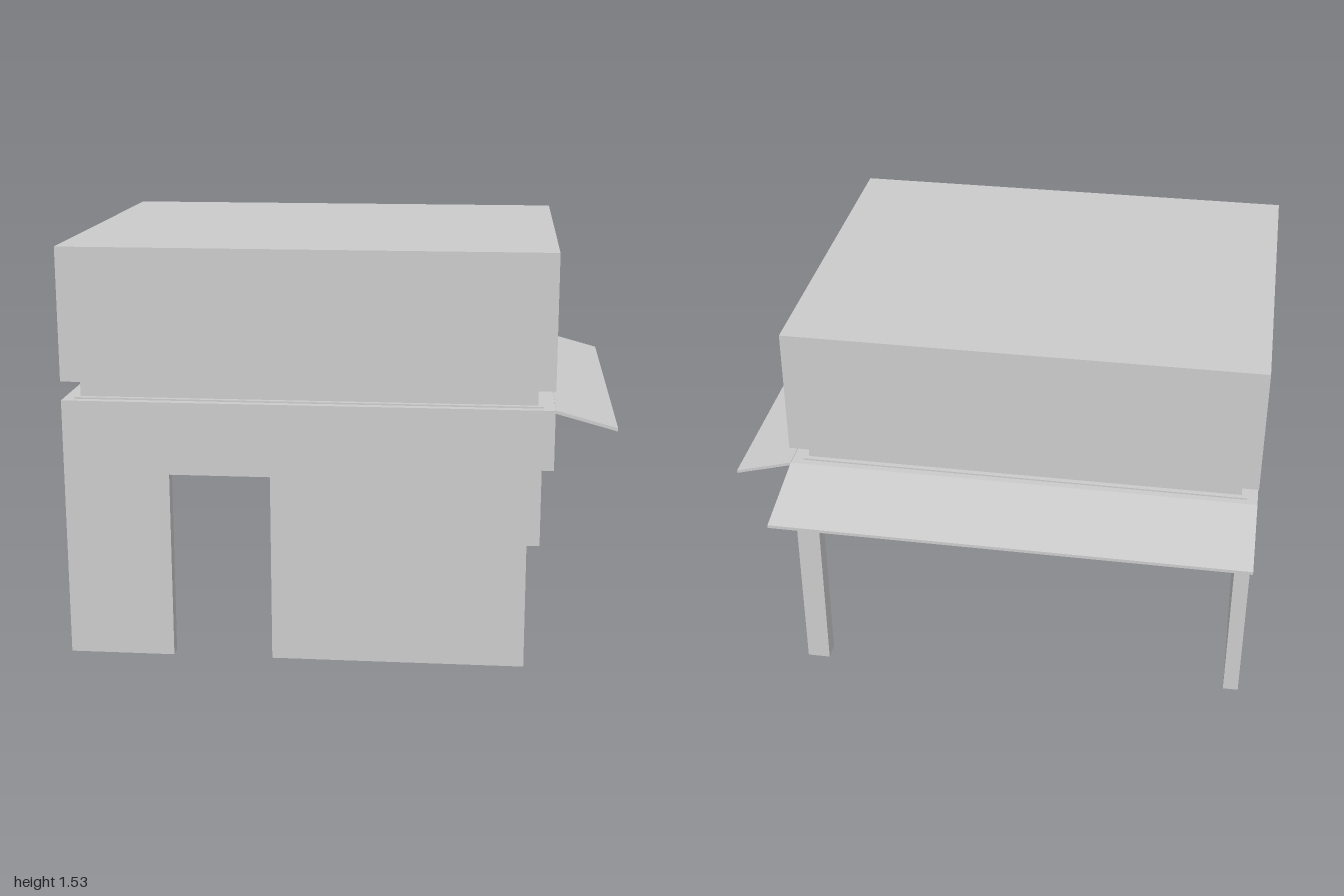
import * as THREE from 'three';

const material = new THREE.MeshStandardMaterial({ color: 0xcccccc, flatShading: true });

export function createModel() {
  const model = new THREE.Group();
  model.name = 'pavilion';

  const add = (name, geometry) => {
    const mesh = new THREE.Mesh(geometry, material);
    mesh.name = name;
    model.add(mesh);
    return mesh;
  };
  // Box given by its minimum and maximum on each axis
  const box = (name, [x0, x1], [y0, y1], [z0, z1]) =>
    add(name, new THREE.BoxGeometry(x1 - x0, y1 - y0, z1 - z0)
      .translate((x0 + x1) / 2, (y0 + y1) / 2, (z0 + z1) / 2));
  const extrude = (points, depth) => new THREE.ExtrudeGeometry(
    new THREE.Shape(points.map(([x, y]) => new THREE.Vector2(x, y))),
    { depth, bevelEnabled: false });

  const X0 = -1, X1 = 0.78, Z0 = -0.55, Z1 = 0.88;      // footprint
  const postX = 0.69, postZ = -0.48;                    // inner faces of post and beams
  const innerX = -0.94, innerZ = 0.83;                  // inner faces of walls
  const beamY = 0.75, deckY = 0.97;

  // Front wall with a doorway, stopping short under the side beam
  add('frontWall', extrude([
    [X0, 0], [-0.61, 0], [-0.61, 0.7], [-0.24, 0.7], [-0.24, 0], [postX, 0],
    [postX, beamY], [X1, beamY], [X1, deckY], [X0, deckY],
  ], Z1 - innerZ).translate(0, 0, innerZ));

  // Closed side wall, profile drawn along z and turned into place
  add('sideWall', extrude([
    [-innerZ, 0], [-postZ, 0], [-postZ, beamY], [-Z0, beamY], [-Z0, deckY], [-innerZ, deckY],
  ], innerX - X0).rotateY(Math.PI / 2).translate(X0, 0, 0));

  // Beams over the two open sides and the corner post
  box('sideBeam', [postX, X1], [beamY, deckY], [Z0, innerZ]);
  box('backBeam', [innerX, postX], [beamY, deckY], [Z0, postZ]);
  box('cornerPost', [postX, X1], [0.005, beamY], [Z0, postZ]);
  box('ceilingSlab', [innerX, postX], [0.87, deckY], [postZ, innerZ]);

  // Recessed neck with thin plates, and the upper block
  box('lowerPlate', [-0.96, 0.74], [deckY, 0.976], [-0.52, 0.85]);
  box('neck', [-0.94, 0.72], [0.976, 1.034], [-0.5, 0.83]);
  box('upperPlate', [-0.96, 0.74], [1.034, 1.04], [-0.52, 0.85]);
  box('upperBlock', [X0, X1], [1.04, 1.53], [Z0, Z1]);

  // Sloping awnings, each a thin parallelogram swept along its wall
  const awning = (reach, length) => extrude(
    [[0, 0.96], [reach, 0.9], [reach, 0.912], [0, 0.972]], length);
  add('sideAwning', awning(1 - X1, Z1 - Z0).translate(X1, 0, Z0));
  add('backAwning', awning(0.33, X1 - X0).rotateY(Math.PI / 2).translate(X0, 0, Z0));

  return model;
}
